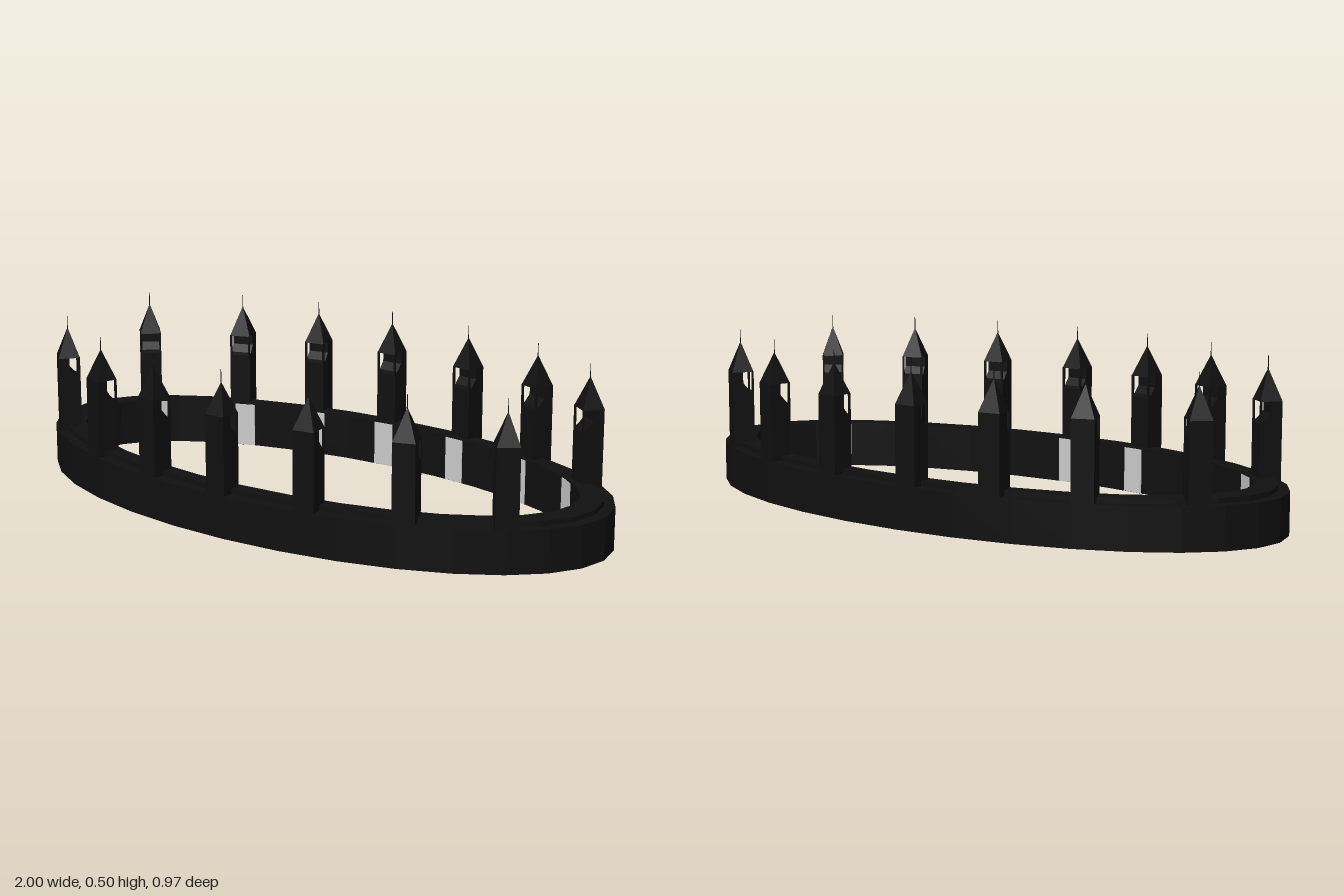
import * as THREE from 'three';

const dark = new THREE.MeshStandardMaterial({ color: 0x101010, flatShading: true });
const grey = new THREE.MeshStandardMaterial({ color: 0xcccccc, flatShading: true });

function part(name, geometry, material, x = 0, y = 0, z = 0) {
  const mesh = new THREE.Mesh(geometry, material);
  mesh.name = name;
  mesh.position.set(x, y, z);
  return mesh;
}

// Elliptical band lying flat, from y0 to y1
function band(rx, rz, innerX, innerZ, y0, y1) {
  const shape = new THREE.Shape();
  shape.absellipse(0, 0, rx, rz, 0, Math.PI * 2);
  const hole = new THREE.Path();
  hole.absellipse(0, 0, innerX, innerZ, 0, Math.PI * 2, true);
  shape.holes.push(hole);
  const geo = new THREE.ExtrudeGeometry(shape, { depth: y1 - y0, bevelEnabled: false, curveSegments: 16 });
  return geo.rotateX(-Math.PI / 2).translate(0, y0, 0);
}

const W = 0.068, H = W / 2;

// Shaft profile: solid outer half, sloped sill falling to the open inner side
function shaftGeometry() {
  const shape = new THREE.Shape([
    [-H, 0.1], [H, 0.1], [H, 0.37], [0, 0.37], [0, 0.335], [-0.02, 0.312], [-H, 0.305],
  ].map(([r, y]) => new THREE.Vector2(r, y)));
  const geo = new THREE.ExtrudeGeometry(shape, { depth: W, bevelEnabled: false });
  return geo.translate(0, 0, -H).rotateY(-Math.PI / 2);
}

// Local +z points out of the ring
function makeTower() {
  const tower = new THREE.Group();
  tower.name = 'tower';
  tower.add(part('shaft', shaftGeometry(), dark));
  for (const s of [-1, 1]) {
    tower.add(part('belfryPost', new THREE.BoxGeometry(0.006, 0.07, 0.006), dark, s * (H - 0.003), 0.337, -H + 0.003));
  }
  const roof = new THREE.ConeGeometry(H * Math.SQRT2, 0.095, 4).rotateY(Math.PI / 4);
  tower.add(part('roof', roof, dark, 0, 0.4175, 0));
  tower.add(part('needle', new THREE.CylinderGeometry(0.0008, 0.002, 0.05, 5), dark, 0, 0.478, 0));
  return tower;
}

export function createModel() {
  const model = new THREE.Group();
  model.name = 'ringWall';
  model.add(part('wall', band(1, 0.486, 0.89, 0.4, 0, 0.13), dark));
  model.add(part('innerLip', band(0.965, 0.45, 0.89, 0.4, 0.13, 0.145), dark));

  // Seven towers along each long side, turned to face outwards
  const a = 0.95, b = 0.447;
  for (const x of [-0.845, -0.57, -0.305, -0.03, 0.27, 0.56, 0.81]) {
    for (const side of [1, -1]) {
      const z = side * b * Math.sqrt(1 - (x / a) ** 2);
      const tower = makeTower();
      tower.position.set(x, 0, z);
      tower.rotation.y = Math.atan2(x / (a * a), z / (b * b));
      model.add(tower);

      // Pale panel on the inner wall face below the tower
      const t = Math.atan2(z / b, x / a);
      const panel = part('innerPanel', new THREE.BoxGeometry(W, 0.14, 0.008), grey,
        0.89 * Math.cos(t), 0.071, 0.4 * Math.sin(t));
      panel.rotation.y = Math.atan2(Math.cos(t) / 0.89, Math.sin(t) / 0.4);
      model.add(panel);
    }
  }
  return model;
}
